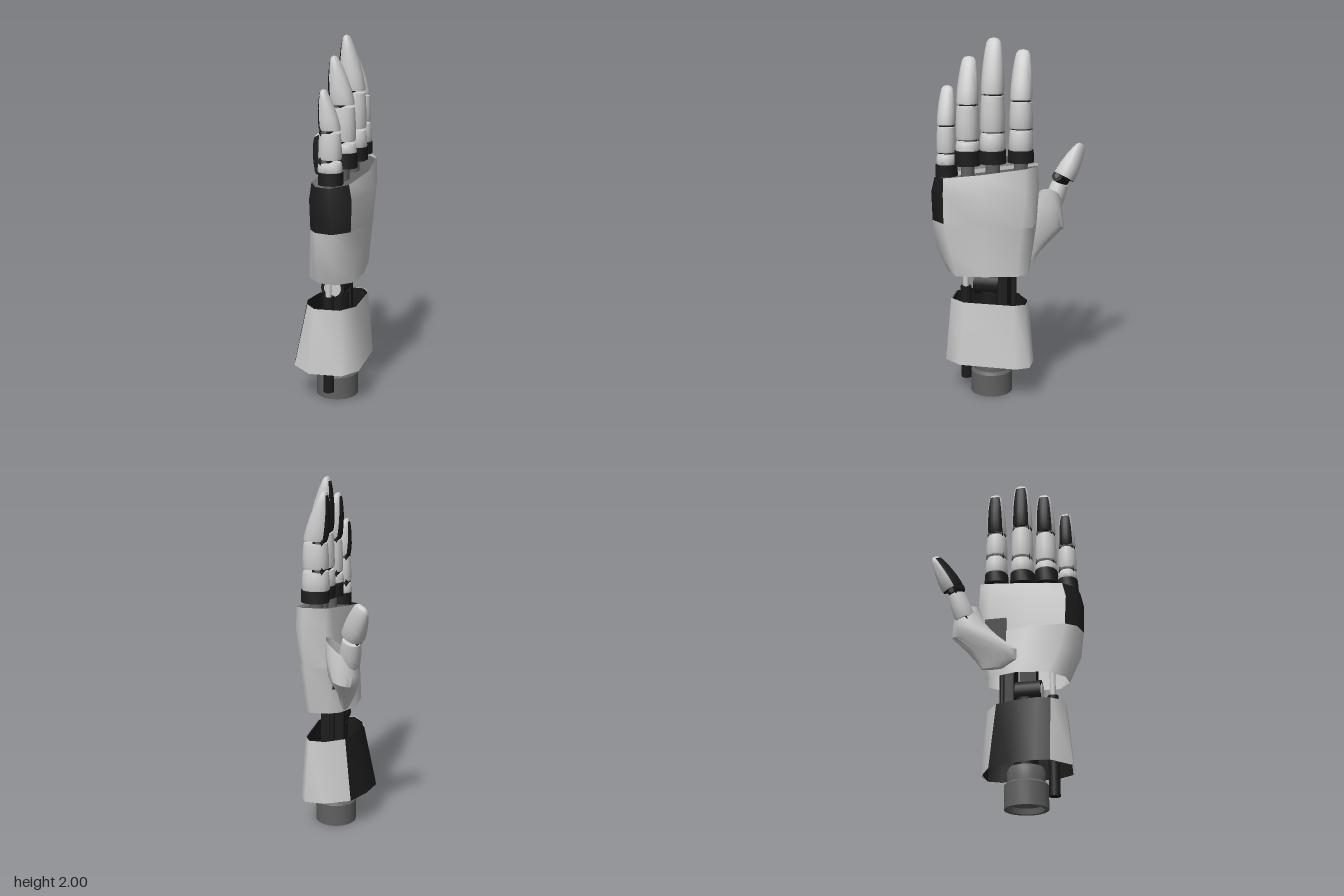
import * as THREE from 'three';
import { toCreasedNormals } from 'three/addons/utils/BufferGeometryUtils.js';

const material = (color) => new THREE.MeshStandardMaterial({ color, side: THREE.DoubleSide });
const light = material(0xcccccc);
const dark = material(0x1c1c1c);
const steel = material(0x606060);

function addMesh(parent, name, geometry, mat, x = 0, y = 0, z = 0) {
  const mesh = new THREE.Mesh(geometry, mat);
  mesh.name = name;
  mesh.position.set(x, y, z);
  parent.add(mesh);
  return mesh;
}

// Skin through rows of [x, y, z] points, bottom row first
function skin(rows, closed = true, caps = '', crease = 0.7) {
  const n = rows[0].length, positions = rows.flat(2), index = [];
  for (let i = 0; i < rows.length - 1; i++) {
    for (let j = 0; j < (closed ? n : n - 1); j++) {
      const k = (j + 1) % n, a = i * n + j, b = i * n + k;
      index.push(a, a + n, b + n, a, b + n, b);
    }
  }
  const cap = (i, flip) => {
    const c = positions.length / 3, row = rows[i];
    positions.push(...[0, 1, 2].map((q) => row.reduce((s, p) => s + p[q], 0) / n));
    for (let j = 0; j < n; j++) {
      const a = i * n + j, b = i * n + (j + 1) % n;
      index.push(c, flip ? a : b, flip ? b : a);
    }
  };
  if (caps.includes('b')) cap(0, true);
  if (caps.includes('t')) cap(rows.length - 1, false);
  const g = new THREE.BufferGeometry();
  g.setAttribute('position', new THREE.Float32BufferAttribute(positions, 3));
  g.setIndex(index);
  return toCreasedNormals(g, crease);
}

// Rounded cross-section, whole or an arc of it; slope lifts its +x side
function ring(x, y, z, hx, hz, { start = 0, sweep = Math.PI * 2, slope = 0 } = {}) {
  const n = 16, out = [];
  const soft = (v) => Math.sign(v) * Math.abs(v) ** 0.88;
  for (let i = 0; i < (sweep > 6.28 ? n : n + 1); i++) {
    const t = start + (sweep * i) / n, dx = hx * soft(Math.cos(t));
    out.push([x + dx, y + slope * dx, z + hz * soft(Math.sin(t))]);
  }
  return out;
}

const cylinder = (r, h) => new THREE.CylinderGeometry(r, r, h, 20);

// Hinge across a finger: a dark barrel with steel pins
function joint(parent, y, r, w, x) {
  addMesh(parent, 'joint', cylinder(r, w * 1.5), dark, x, y, 0).rotation.x = Math.PI / 2;
  addMesh(parent, 'jointPin', cylinder(r * 0.45, w * 1.65), steel, x, y, 0).rotation.x = Math.PI / 2;
}

function phalanx(parent, y0, y1, hx, hz, taper = 0.92) {
  const rows = [[0, 0.96], [0.08, 1], [0.5, 0.98], [0.93, taper], [1, taper * 0.96]]
    .map(([t, s]) => ring(0, y0 + (y1 - y0) * t, 0, hx * s, hz * s));
  addMesh(parent, 'phalanx', skin(rows, true, 'bt'), light);
}

// Fingertip leaning toward its dark pad on the -x side: height, depth scale, width scale
function fingertip(parent, y0, y1, hx, hz, lean) {
  const steps = [[0, 0.96, 0.96], [0.06, 1, 1], [0.3, 0.92, 0.97], [0.55, 0.75, 0.89], [0.78, 0.52, 0.76],
    [0.92, 0.33, 0.63], [0.98, 0.2, 0.42], [1, 0.02, 0.02]];
  const rows = (list, start, sweep) => list.map(([t, a, b]) =>
    ring(-lean * t, y0 + (y1 - y0) * t, 0, hx * a, hz * b, { start, sweep }));
  const half = 0.8, pad = [Math.PI - half, 2 * half];
  addMesh(parent, 'fingertipShell', skin(rows(steps, Math.PI + half, 2 * (Math.PI - half)), false), light);
  addMesh(parent, 'fingertipPad', skin(rows(steps.slice(0, 6), ...pad), false), dark);
  addMesh(parent, 'fingertipEnd', skin(rows(steps.slice(5), ...pad), false), light);
  addMesh(parent, 'fingertipBase', skin([0, 0.01].map((d) => ring(0, y0 + d, 0, hx * 0.93, hz * 0.93)), true, 'bt'), dark);
}

function finger(hand, name, x, z, [y0, k, j1, j2, tip], hw, lean) {
  const g = new THREE.Group();
  g.name = name;
  g.position.set(x, 0, z);
  hand.add(g);
  const hx = hw * 1.14;
  addMesh(g, 'knucklePost', cylinder(hw * 0.55, 0.1), steel, 0, y0 - 0.02, 0);
  addMesh(g, 'knuckle', skin([ring(0.003, y0, 0, hx, hw * 1.06), ring(0.003, k, 0, hx * 1.02, hw)], true, 'bt'), dark);
  phalanx(g, k, j1 - 0.007, hx, hw * 0.97);
  joint(g, j1, 0.03, hw, -hx * 0.3);
  phalanx(g, j1 + 0.007, j2 - 0.007, hx * 0.94, hw * 0.93);
  joint(g, j2, 0.028, hw * 0.9, -hx * 0.3);
  fingertip(g, j2 + 0.007, tip, hx * 0.86, hw * 0.87, lean);
}

function buildThumb(hand) {
  const thumb = new THREE.Group();
  thumb.name = 'thumb';
  hand.add(thumb);
  // Cupped root of the thumb, its rim rising on the +x side: y, x, z, half sizes, slope
  const base = [[0.76, -0.06, -0.09, 0.015, 0.06, 0], [0.8, -0.062, -0.065, 0.032, 0.11, 0], [0.86, -0.07, -0.09, 0.045, 0.135, 0.1],
    [0.955, -0.07, -0.19, 0.078, 0.125, 0.3], [1.04, -0.072, -0.225, 0.092, 0.083, 0.6], [1.12, -0.068, -0.235, 0.085, 0.062, 0.8]];
  addMesh(thumb, 'thumbBase', skin(base.map(([y, x, z, a, b, slope]) => ring(x, y, z, a, b, { slope })), true, 'b'), light);
  addMesh(thumb, 'thumbMount', new THREE.BoxGeometry(0.06, 0.2, 0.12), dark, -0.01, 0.97, -0.08);
  // Frame whose y runs along the bone and whose -x faces the pad
  const limb = (name, from, to) => {
    const a = new THREE.Vector3(...from), y = new THREE.Vector3(...to).sub(a), length = y.length();
    y.normalize();
    const x = new THREE.Vector3(0.35, 0, -0.95);
    x.addScaledVector(y, -y.dot(x)).normalize();
    const g = new THREE.Group();
    g.name = name;
    g.quaternion.setFromRotationMatrix(new THREE.Matrix4().makeBasis(x, y, x.clone().cross(y)));
    g.position.copy(a);
    thumb.add(g);
    return [g, length];
  };
  const [lower, l1] = limb('thumbLowerBone', [-0.105, 1.04, -0.23], [-0.135, 1.2, -0.285]);
  joint(lower, 0, 0.035, 0.055, 0);
  phalanx(lower, 0.01, l1 - 0.01, 0.052, 0.06, 0.88);
  const [upper, l2] = limb('thumbUpperBone', [-0.14, 1.215, -0.295], [-0.212, 1.407, -0.385]);
  joint(upper, 0, 0.032, 0.06, -0.015);
  fingertip(upper, 0.012, l2, 0.058, 0.064, -0.005);
}

function buildPalm(hand) {
  // Outlines [x, z] from the thumb edge round the back to the palm face
  const levels = [
    [0.72, 0.05, [[0.03, -0.14], [0.13, -0.15], [0.17, -0.1], [0.19, 0.08], [0.18, 0.24], [0.09, 0.31], [0, 0.3], [-0.08, 0.22], [-0.09, 0.05], [-0.03, -0.1]]],
    [0.85, 0, [[0.03, -0.16], [0.14, -0.165], [0.18, -0.11], [0.2, 0.08], [0.18, 0.27], [0.09, 0.378], [0, 0.355], [-0.06, 0.28], [-0.065, 0.08], [-0.02, -0.11]]],
    [1.0, 0, [[0.03, -0.18], [0.15, -0.182], [0.19, -0.13], [0.215, 0.08], [0.175, 0.31], [0.095, 0.395], [0, 0.372], [-0.045, 0.31], [-0.05, 0.1], [-0.01, -0.12]]],
    [1.19, 0.08, [[0.03, -0.192], [0.16, -0.197], [0.205, -0.15], [0.247, 0.09], [0.18, 0.31], [0.09, 0.402], [0, 0.378], [-0.048, 0.32], [-0.04, 0.1], [0, -0.13]]],
    [1.302, 0.163, [[0.03, -0.185], [0.15, -0.208], [0.2, -0.15], [0.215, 0.09], [0.165, 0.31], [0.08, 0.385], [0, 0.365], [-0.04, 0.3], [-0.02, 0.1], [0.015, -0.12]]],
  ];
  const rows = levels.map(([y, slope, pts]) => pts.map(([x, z]) => [x, y - slope * z, z]));
  const upper = rows.slice(2);
  addMesh(hand, 'palmLowerShell', skin(rows.slice(0, 3), true, '', 1.2), light);
  addMesh(hand, 'palmUpperShell', skin(upper.map((r) => [...r.slice(7), ...r.slice(0, 5)]), false, '', 1.2), light);
  addMesh(hand, 'palmSidePanel', skin(upper.map((r) => r.slice(4, 8)), false, '', 1.2), dark);
  // Sloping plate that carries the knuckles, leaving a slot by the palm face
  const plate = [[0.03, -0.182], [0.15, -0.203], [0.198, -0.148], [0.213, 0.09], [0.163, 0.308], [0.08, 0.38], [0.03, 0.37]];
  addMesh(hand, 'knucklePlate', skin([0.04, 0.015].map((d) =>
    plate.map(([x, z]) => [x, 1.302 - d - 0.163 * z, z])), true, 'bt'), steel);
}

function buildForearm(hand) {
  const bottom = [[0.05, -0.172], [0.16, -0.17], [0.2, -0.1], [0.2, 0.22], [0.13, 0.32], [-0.05, 0.335], [-0.165, 0.235], [-0.185, 0.16], [-0.155, 0.03], [-0.09, -0.1]];
  const top = [[0.05, -0.14], [0.14, -0.14], [0.175, -0.08], [0.175, 0.2], [0.11, 0.29], [-0.03, 0.3], [-0.09, 0.23], [-0.11, 0.16], [-0.09, 0.04], [-0.05, -0.07]];
  const rows = [[bottom, 0.197], [top, 0.558]].map(([pts, y]) => pts.map(([x, z]) => [x, y, z]));
  addMesh(hand, 'forearmShell', skin(rows.map((r) => [r[9], ...r.slice(0, 7)]), false, '', 1.2), light);
  addMesh(hand, 'forearmPanel', skin(rows.map((r) => r.slice(6)), false, '', 1.2), dark);
  addMesh(hand, 'forearmLining', skin(rows.map((r) =>
    r.map(([x, y, z]) => [0.02 + (x - 0.02) * 0.96, y, 0.08 + (z - 0.08) * 0.96]))), dark);

  // Mounting socket with a hollow underside
  const profile = [[0, 0.03], [0.09, 0.03], [0.095, 0], [0.117, 0], [0.117, 0.125], [0.1, 0.14], [0.1, 0.2], [0.09, 0.22], [0, 0.22]];
  const socket = new THREE.LatheGeometry(profile.map((p) => new THREE.Vector2(...p)), 32);
  addMesh(hand, 'mountSocket', toCreasedNormals(socket, 0.5), steel, 0.037, 0, 0.075);

  // Wrist pivot and the actuator rods around it
  addMesh(hand, 'wristColumn', cylinder(0.065, 0.4), dark, 0.037, 0.4, 0.075);
  addMesh(hand, 'wristPivot', cylinder(0.066, 0.14), dark, 0.035, 0.64, 0.095).rotation.x = Math.PI / 2;
  addMesh(hand, 'wristPivotCap', cylinder(0.048, 0.02), light, 0.035, 0.64, 0.16).rotation.x = Math.PI / 2;
  addMesh(hand, 'wristBlock', new THREE.BoxGeometry(0.13, 0.34, 0.05), dark, 0.035, 0.63, -0.003);
  addMesh(hand, 'wristNeck', new THREE.BoxGeometry(0.08, 0.16, 0.09), dark, 0.035, 0.74, 0.095);
  addMesh(hand, 'rearRod', cylinder(0.016, 0.3), dark, 0.03, 0.61, -0.053);
  addMesh(hand, 'actuator', cylinder(0.03, 0.55), dark, 0.03, 0.335, 0.225);
  addMesh(hand, 'actuatorRod', cylinder(0.016, 0.18), light, 0.03, 0.69, 0.225);
}

export function createModel() {
  const hand = new THREE.Group();
  hand.name = 'mechanicalHand';
  buildForearm(hand);
  buildPalm(hand);
  buildThumb(hand);
  finger(hand, 'indexFinger', 0.104, -0.106, [1.35, 1.415, 1.525, 1.675, 1.94], 0.067, 0.05);
  finger(hand, 'middleFinger', 0.113, 0.047, [1.34, 1.41, 1.505, 1.705, 2.0], 0.07, 0.035);
  finger(hand, 'ringFinger', 0.096, 0.19, [1.32, 1.4, 1.455, 1.645, 1.9], 0.067, 0.045);
  finger(hand, 'littleFinger', 0.066, 0.318, [1.25, 1.315, 1.375, 1.525, 1.74], 0.057, 0.035);
  return hand;
}
